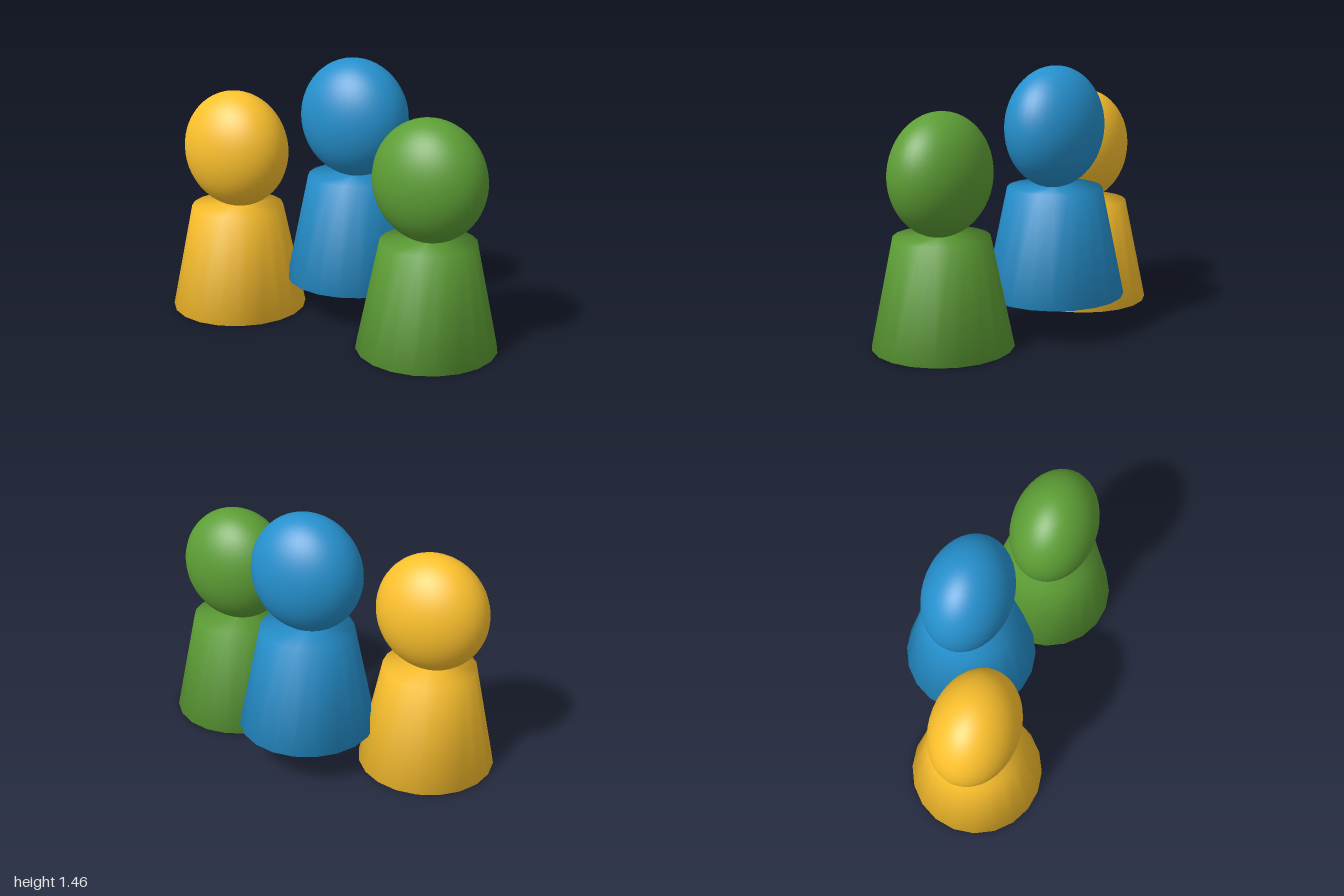
import * as THREE from 'three';
import { mergeVertices } from 'three/addons/utils/BufferGeometryUtils.js';

const BODY_HEIGHT = 0.595;
const HEAD = { x: 0.317, y: 0.33, z: 0.24 };

// Tapered body whose rims are shaded softly, so caps and side share normals
function bodyGeometry() {
  const g = new THREE.CylinderGeometry(0.26, 0.383, BODY_HEIGHT, 20);
  g.deleteAttribute('normal');
  g.deleteAttribute('uv');
  const soft = mergeVertices(g, 1e-4);
  soft.computeVertexNormals();
  return soft;
}

// One figure: a tapered body with an oval head resting on it
function createFigure(name, color, x, y, z) {
  const material = new THREE.MeshStandardMaterial({ color });
  const figure = new THREE.Group();
  figure.name = name;
  figure.position.set(x, y, z);

  const body = new THREE.Mesh(bodyGeometry(), material);
  body.name = 'body';
  body.position.y = BODY_HEIGHT / 2;

  const headShape = new THREE.SphereGeometry(1, 40, 28).scale(HEAD.x, HEAD.y, HEAD.z);
  const head = new THREE.Mesh(headShape, material);
  head.name = 'head';
  head.position.y = BODY_HEIGHT + HEAD.y;

  figure.add(body, head);
  return figure;
}

export function createModel() {
  const model = new THREE.Group();
  model.name = 'threeFigures';
  model.add(
    createFigure('rightFigure', 0xfcc12d, -0.617, 0, 0.135),
    createFigure('middleFigure', 0x2590cd, 0, 0.205, -0.135),
    createFigure('leftFigure', 0x5d9e35, 0.617, 0, 0.135)
  );
  return model;
}
